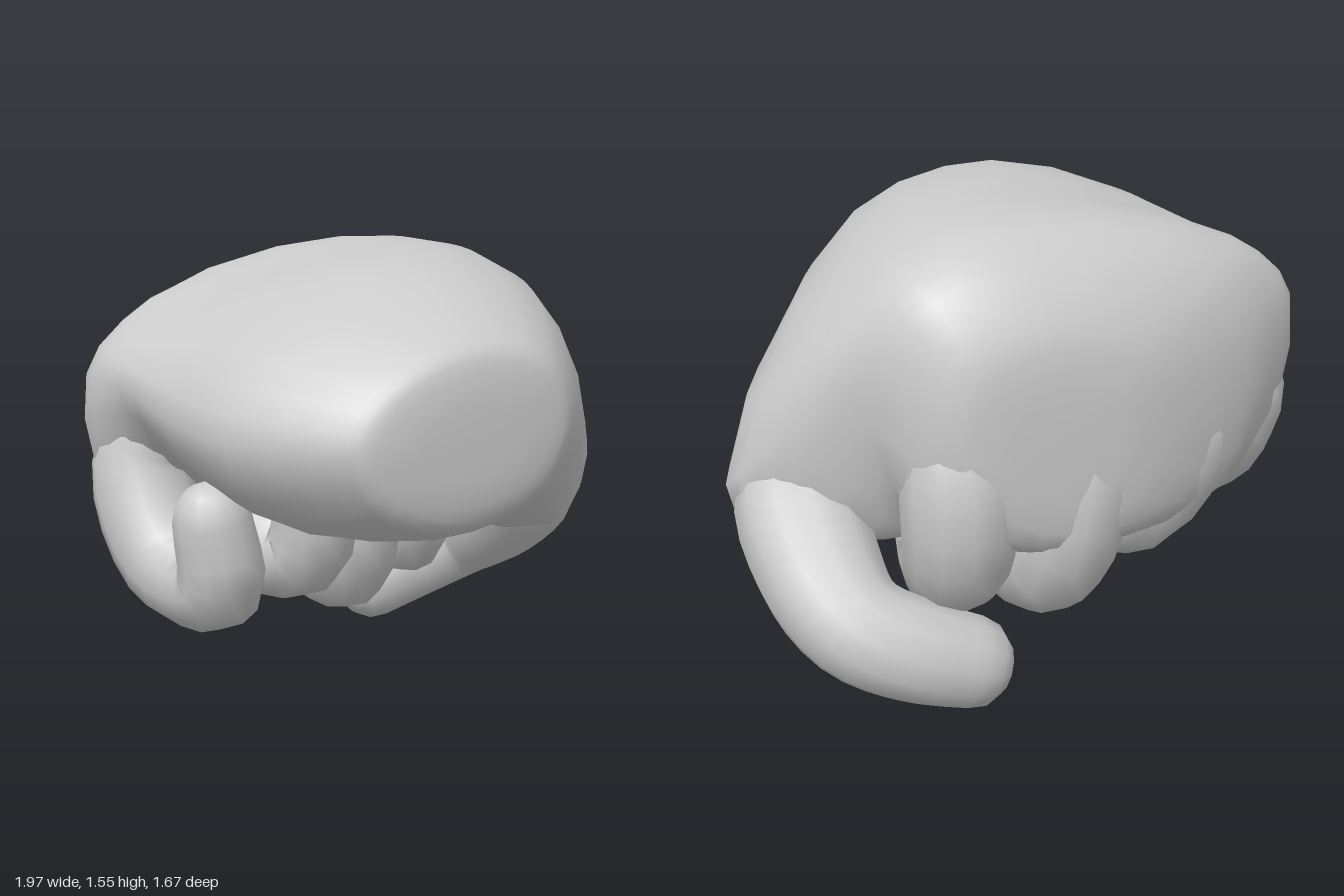
import * as THREE from 'three';

const V = (x, y, z) => new THREE.Vector3(x, y, z);
const material = new THREE.MeshStandardMaterial({ color: 0xcccccc });
const centre = (ring) => ring.reduce((s, p) => s.add(p), V(0, 0, 0)).divideScalar(ring.length);

// Skin a list of equal-length rings (right-handed about the travel direction) and close both ends.
function loft(name, rings) {
  const n = rings[0].length, pos = [], idx = [];
  rings.forEach((ring) => ring.forEach((p) => pos.push(p.x, p.y, p.z)));
  const first = rings.length * n, last = first + 1, end = (rings.length - 1) * n;
  [centre(rings[0]), centre(rings[rings.length - 1])].forEach((p) => pos.push(p.x, p.y, p.z));
  for (let i = 0; i < n; i++) {
    const j = (i + 1) % n;
    for (let r = 0; r < rings.length - 1; r++) {
      const a = r * n + i, b = r * n + j;
      idx.push(a, b, a + n, b, b + n, a + n);
    }
    idx.push(first, j, i, last, end + i, end + j);
  }
  const g = new THREE.BufferGeometry();
  g.setAttribute('position', new THREE.Float32BufferAttribute(pos, 3));
  g.setIndex(idx);
  g.computeVertexNormals();
  const mesh = new THREE.Mesh(g, material);
  mesh.name = name;
  return mesh;
}

// Round-ended limb through [x, y, z, radius] joints.
function limb(name, joints, sides = 12) {
  const path = new THREE.CatmullRomCurve3(joints.map((j) => V(j[0], j[1], j[2])));
  const radii = new THREE.CatmullRomCurve3(joints.map((j, i) => V(i, j[3], 0)));
  const steps = (joints.length - 1) * 4, rings = [];
  const normal = V(1, 0.1, 0.2);
  const ring = (c, d, r) => {
    normal.addScaledVector(d, -normal.dot(d)).normalize();
    const side = d.clone().cross(normal);
    rings.push(Array.from({ length: sides }, (_, k) => {
      const a = (k / sides) * Math.PI * 2;
      return c.clone().addScaledVector(normal, r * Math.cos(a)).addScaledVector(side, r * Math.sin(a));
    }));
  };
  for (let s = 0; s <= steps; s++) {
    const t = s / steps;
    ring(path.getPoint(t), path.getTangent(t), radii.getPoint(t).y);
  }
  // rounded tip
  const tip = path.getPoint(1), d = path.getTangent(1), r = joints[joints.length - 1][3];
  for (const a of [0.5, 0.95, 1.3]) {
    ring(tip.clone().addScaledVector(d, r * 0.9 * Math.sin(a)), d, r * Math.cos(a));
  }
  return loft(name, rings);
}

// Palm cross-sections from wrist to knuckles: z, then the outline
// left, upper left, top, upper right, right, lower right, bottom, lower left.
const palmSections = [
  [0.77, [-0.69, 1.02], [-0.58, 1.2], [-0.25, 1.33], [0.06, 1.26], [0.17, 1.04], [0.06, 0.83], [-0.3, 0.73], [-0.57, 0.82]],
  [0.42, [-0.9, 1.02], [-0.76, 1.27], [-0.2, 1.5], [0.3, 1.38], [0.5, 0.96], [0.31, 0.69], [-0.3, 0.65], [-0.72, 0.76]],
  [0.1, [-0.94, 1.06], [-0.8, 1.3], [-0.1, 1.55], [0.45, 1.43], [0.79, 0.84], [0.6, 0.55], [-0.1, 0.65], [-0.75, 0.8]],
  [-0.15, [-0.97, 1.13], [-0.82, 1.31], [0, 1.555], [0.5, 1.45], [0.98, 0.67], [0.8, 0.42], [0, 0.67], [-0.75, 0.84]],
  [-0.38, [-0.98, 1.14], [-0.74, 1.37], [0.05, 1.55], [0.5, 1.45], [0.81, 0.95], [0.7, 0.52], [0, 0.57], [-0.87, 0.68]],
  [-0.51, [-0.85, 1.1], [-0.65, 1.36], [0.07, 1.53], [0.49, 1.43], [0.65, 1.1], [0.48, 0.62], [0, 0.52], [-0.74, 0.6]],
  [-0.65, [-0.65, 1.04], [-0.47, 1.31], [0.1, 1.44], [0.44, 1.37], [0.54, 1.08], [0.45, 0.62], [0, 0.49], [-0.55, 0.58]],
  [-0.77, [-0.32, 1.0], [-0.23, 1.18], [0.1, 1.27], [0.34, 1.2], [0.41, 1.0], [0.33, 0.68], [0.03, 0.54], [-0.25, 0.65]],
];

function palm() {
  const outlines = palmSections.map(([z, ...pts]) => {
    const c = new THREE.CatmullRomCurve3(pts.map(([x, y]) => V(x, y, z)), true);
    return Array.from({ length: 24 }, (_, k) => c.getPoint(k / 24));
  });
  // shrunken copies of the end outlines round off the wrist and knuckles
  const shrink = (ring, scale, dz) => {
    const c = centre(ring);
    return ring.map((p) => p.clone().lerp(c, 1 - scale).add(V(0, 0, dz)));
  };
  const wrist = outlines[0], knuckles = outlines[outlines.length - 1];
  outlines.unshift(shrink(wrist, 0.4, 0.065), shrink(wrist, 0.82, 0.045));
  outlines.push(shrink(knuckles, 0.5, -0.03));
  const rails = wrist.map((_, k) => new THREE.CatmullRomCurve3(outlines.map((o) => o[k])));
  const steps = (outlines.length - 1) * 3;
  return loft('palm', Array.from({ length: steps + 1 }, (_, s) => rails.map((c) => c.getPoint(s / steps))));
}

export function createModel() {
  const hand = new THREE.Group();
  hand.name = 'fist';
  hand.add(palm());

  // curled fingers: knuckle, middle joint, bend, tip turned up into the palm
  const fingers = {
    littleFinger: [[-0.72, 1.12, -0.22, 0.12], [-0.81, 0.82, -0.33, 0.17], [-0.79, 0.52, -0.17, 0.17], [-0.74, 0.48, 0.08, 0.15], [-0.78, 0.72, 0.11, 0.13]],
    ringFinger: [[-0.45, 1.15, -0.38, 0.12], [-0.46, 0.8, -0.52, 0.2], [-0.36, 0.5, -0.45, 0.18], [-0.25, 0.46, -0.2, 0.16], [-0.24, 0.72, -0.12, 0.15]],
    middleFinger: [[-0.05, 1.15, -0.45, 0.12], [-0.06, 0.8, -0.61, 0.19], [0, 0.42, -0.56, 0.19], [0.01, 0.35, -0.33, 0.17], [0.02, 0.7, -0.22, 0.15]],
    indexFinger: [[0.33, 1.12, -0.45, 0.12], [0.35, 0.8, -0.61, 0.19], [0.34, 0.48, -0.57, 0.18], [0.32, 0.41, -0.38, 0.15], [0.32, 0.7, -0.28, 0.14]],
  };
  for (const [name, joints] of Object.entries(fingers)) hand.add(limb(name, joints));

  // thumb growing out of the palm and wrapping across the back of the fingers
  hand.add(limb('thumb', [
    [0.58, 0.8, 0, 0.1], [0.74, 0.63, -0.18, 0.21], [0.75, 0.44, -0.4, 0.21],
    [0.69, 0.31, -0.58, 0.18], [0.52, 0.22, -0.66, 0.17], [0.34, 0.15, -0.68, 0.155],
  ]));
  return hand;
}
